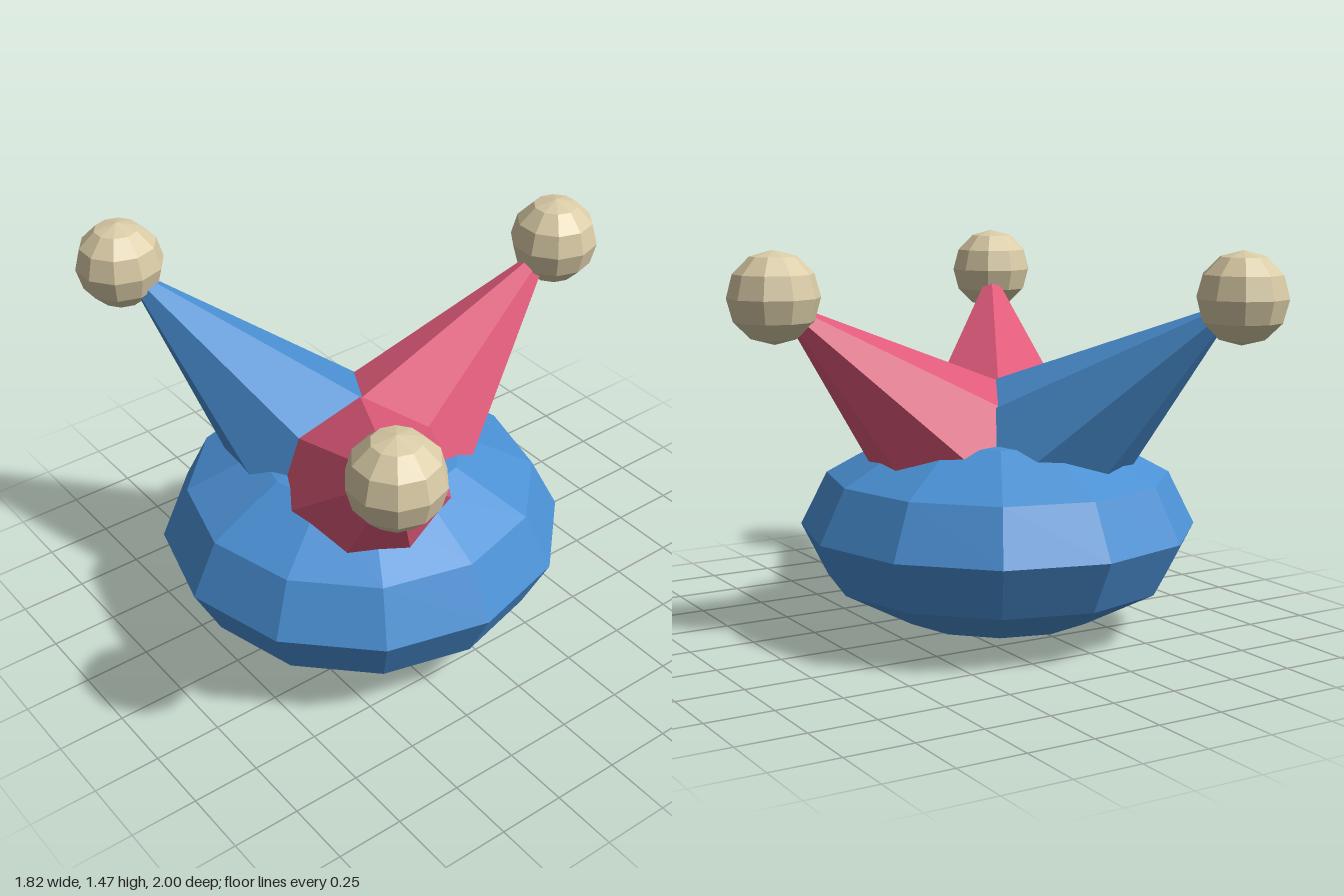
import * as THREE from 'three';

const flat = (name, color) => {
  const m = new THREE.MeshStandardMaterial({ color, flatShading: true });
  m.name = name;
  return m;
};

export function createModel() {
  const blue = flat('blue', 0x4a90d4);
  const red = flat('red', 0xe05a7a);
  const cream = flat('cream', 0xd9cba6);

  const model = new THREE.Group();
  model.name = 'jesterHat';
  const add = (name, geometry, material) => {
    const mesh = new THREE.Mesh(geometry, material);
    mesh.name = name;
    model.add(mesh);
  };

  // Squashed low-poly body
  const body = new THREE.SphereGeometry(0.75, 12, 6);
  body.scale(1, 0.4 / 0.75, 1).translate(-0.16, 0.4, 0);
  add('body', body, blue);

  // Three horns, all aimed away from one point inside the body, each tipped with a bobble
  const root = new THREE.Vector3(-0.16, 0.543, 0);
  const horns = [
    ['left', new THREE.Vector3(0.753, 1.302, 0), red],
    ['front', new THREE.Vector3(-0.637, 1.302, 0.835), red],
    ['back', new THREE.Vector3(-0.637, 1.302, -0.835), blue],
  ];
  for (const [side, tip, material] of horns) {
    const axis = tip.clone().sub(root);
    const length = axis.length() * 0.88;
    const horn = new THREE.ConeGeometry(length * 0.336, length, 7, 1);
    horn.translate(0, -length / 2, 0)
      .rotateY(Math.PI) // one edge forms the upper ridge
      .rotateX(Math.atan2(Math.hypot(axis.x, axis.z), axis.y))
      .rotateY(Math.atan2(axis.x, axis.z))
      .translate(tip.x, tip.y, tip.z);
    add(side + 'Horn', horn, material);

    const bobble = new THREE.SphereGeometry(0.165, 10, 6);
    bobble.rotateY(Math.PI / 2).translate(tip.x, tip.y, tip.z);
    add(side + 'Bobble', bobble, cream);
  }
  return model;
}
